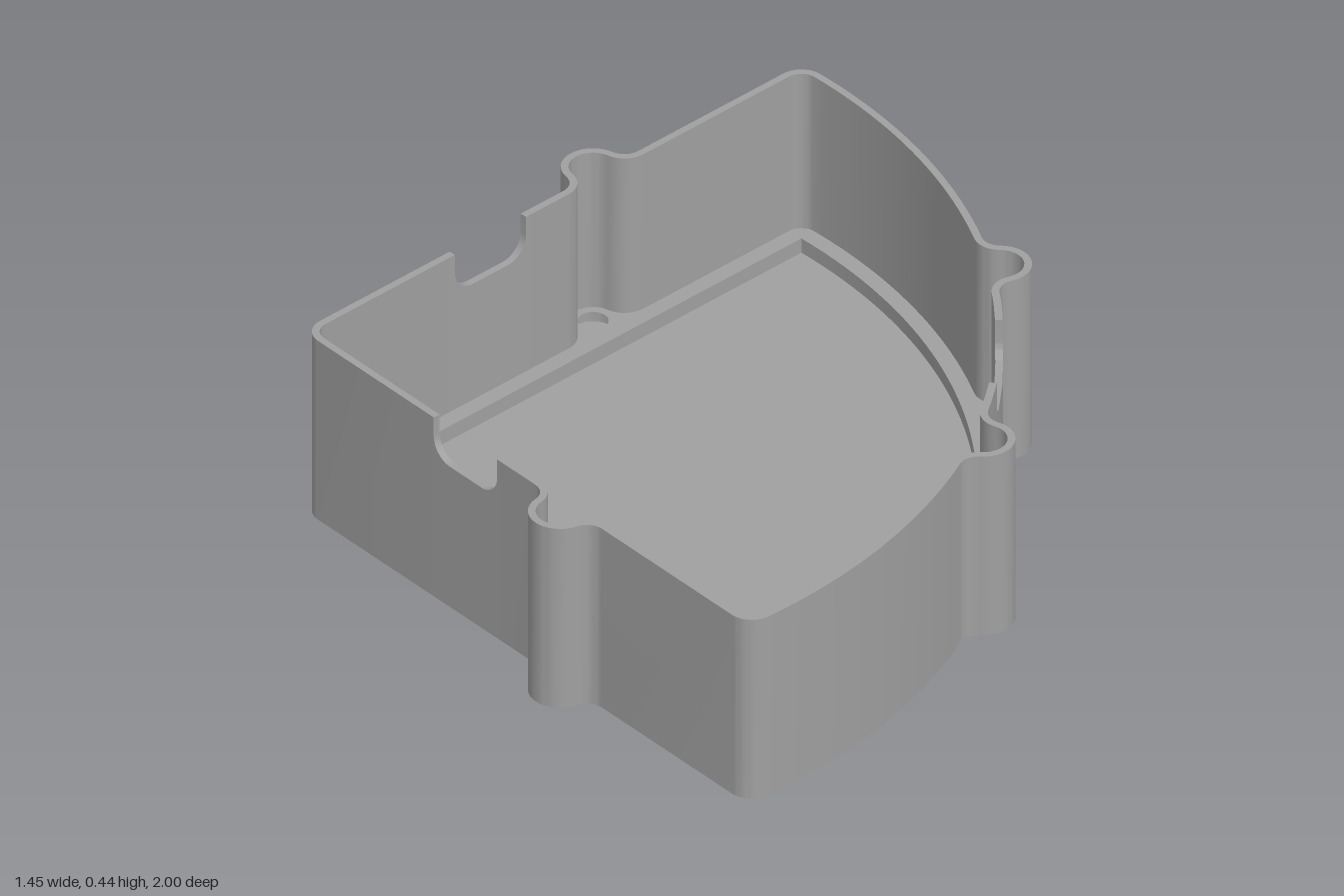
import * as THREE from 'three';
import { toCreasedNormals } from 'three/addons/utils/BufferGeometryUtils.js';

const HEIGHT = 0.44, WALL = 0.016, FLOOR = 0.025, LEDGE = 0.06;
const APEX = new THREE.Vector2(-0.675, 0);
const HALF_ANGLE = THREE.MathUtils.degToRad(46.6);
const SECTOR_R = 1.302, RIM = 0.053, OUTER_R = SECTOR_R + RIM;
const BOSS_R = 0.066, FILLET = 0.04, HOLE_R = 0.032;

const polar = (c, r, a) => new THREE.Vector2(c.x + r * Math.cos(a), c.y + r * Math.sin(a));
const bearing = (from, to) => Math.atan2(to.y - from.y, to.x - from.x);

// Rounded notch outline as [offset, height] pairs
function notch(halfWidth, bottom, r) {
  const left = [[-halfWidth, HEIGHT]];
  for (let i = 0; i <= 8; i++) {
    const a = (i / 8) * Math.PI / 2;
    left.push([-halfWidth + r * (1 - Math.cos(a)), bottom + r * (1 - Math.sin(a))]);
  }
  return left.concat(left.map(([s, h]) => [-s, h]).reverse());
}

// Screw boss centres on the +z half: one on the straight wall, one on the arc
const sideBoss = new THREE.Vector2(-0.188, 0.625);
const arcBoss = new THREE.Vector2(0.658, 0.317);

// Outer contour of the +z half, in (x, z), with outward normal n and wall height h
function halfContour() {
  const pts = [];
  const add = (p, n, h = HEIGHT) => pts.push({ p, n, h });
  const arc = (c, r, a0, a1, sign, steps) => {
    const sweep = Math.atan2(Math.sin(a1 - a0), Math.cos(a1 - a0));
    for (let i = 0; i <= steps; i++) {
      const a = a0 + sweep * i / steps;
      add(polar(c, r, a), new THREE.Vector2(sign * Math.cos(a), sign * Math.sin(a)));
    }
  };
  const boss = (c, f1, f2, in1, in2) => {
    arc(f1, FILLET, in1, bearing(f1, c), -1, 8);
    arc(c, BOSS_R, bearing(c, f1), bearing(c, f2), 1, 18);
    arc(f2, FILLET, bearing(f2, c), in2, -1, 8);
  };
  const A = HALF_ANGLE;
  const d = new THREE.Vector2(Math.cos(A), Math.sin(A));
  const n = new THREE.Vector2(-d.y, d.x);
  const onSide = (t, off) => APEX.clone().addScaledVector(d, t).addScaledVector(n, off);

  // Rounded apex and straight wall with its notch
  arc(APEX, RIM, Math.PI, A + Math.PI / 2, 1, 8);
  for (const [s, h] of notch(0.1, 0.345, 0.05)) add(onSide(0.464 + s, RIM), n, h);

  // Boss on the straight wall
  const rel = sideBoss.clone().sub(APEX);
  const t = rel.dot(d), rise = RIM + FILLET - rel.dot(n);
  const dt = Math.sqrt((BOSS_R + FILLET) ** 2 - rise ** 2);
  boss(sideBoss, onSide(t - dt, RIM + FILLET), onSide(t + dt, RIM + FILLET), A - Math.PI / 2, A - Math.PI / 2);

  // Rounded corner, then the large arc with its boss
  arc(polar(APEX, SECTOR_R, A), RIM, A + Math.PI / 2, A, 1, 12);
  const b = bearing(APEX, arcBoss), rb = APEX.distanceTo(arcBoss), rf = OUTER_R + FILLET;
  const delta = Math.acos((rb * rb + rf * rf - (BOSS_R + FILLET) ** 2) / (2 * rb * rf));
  arc(APEX, OUTER_R, A, b + delta, 1, 24);
  boss(arcBoss, polar(APEX, rf, b + delta), polar(APEX, rf, b - delta), b + delta + Math.PI, b - delta + Math.PI);

  // Half of the notch in the middle of the arc
  arc(APEX, OUTER_R, b - delta, 0.12, 1, 3);
  for (const [s, h] of notch(0.115, 0.355, 0.03).filter(([s]) => s < 0)) {
    const a = -s / OUTER_R;
    add(polar(APEX, OUTER_R, a), new THREE.Vector2(Math.cos(a), Math.sin(a)), h);
  }
  add(polar(APEX, OUTER_R, 0), new THREE.Vector2(1, 0), 0.355);
  return pts;
}

function fullContour() {
  const half = halfContour();
  const flip = (v) => new THREE.Vector2(v.x, -v.y);
  const other = half.slice(1, -1).reverse().map(({ p, n, h }) => ({ p: flip(p), n: flip(n), h }));
  return half.concat(other);
}

// Sweep the wall section round the contour
function wallGeometry(contour) {
  const rings = contour.map(({ p, n, h }) => {
    const q = p.clone().addScaledVector(n, -WALL);
    return [[p.x, 0, p.y], [p.x, h, p.y], [q.x, h, q.y], [q.x, 0, q.y]].map((v) => new THREE.Vector3(...v));
  });
  const pos = [];
  const tri = (a, b, c) => {
    const area = b.clone().sub(a).cross(c.clone().sub(a)).length();
    if (area > 1e-9) for (const v of [a, b, c]) pos.push(v.x, v.y, v.z);
  };
  rings.forEach((r, i) => {
    const s = rings[(i + 1) % rings.length];
    for (let k = 0; k < 4; k++) {
      const m = (k + 1) % 4;
      tri(r[k], s[k], s[m]);
      tri(r[k], s[m], r[m]);
    }
  });
  const g = new THREE.BufferGeometry();
  g.setAttribute('position', new THREE.Float32BufferAttribute(pos, 3));
  return toCreasedNormals(g, 0.5);
}

// Flat slab from a plan shape between two heights
function slab(shape, y0, y1) {
  const g = new THREE.ExtrudeGeometry(shape, { depth: y1 - y0, bevelEnabled: false, curveSegments: 32 });
  g.rotateX(-Math.PI / 2).translate(0, y0, 0);
  return toCreasedNormals(g, 0.5);
}

export function createModel() {
  const group = new THREE.Group();
  group.name = 'sectorTray';
  const grey = new THREE.MeshStandardMaterial({ color: 0xa0a0a0 });
  grey.name = 'grey plastic';
  const add = (name, geometry) => {
    const mesh = new THREE.Mesh(geometry, grey);
    mesh.name = name;
    group.add(mesh);
  };

  const contour = fullContour();
  add('wall', wallGeometry(contour));

  // Inner plan, without repeated points
  const inner = contour
    .map(({ p, n }) => p.clone().addScaledVector(n, -WALL))
    .filter((p, i, all) => i === 0 || p.distanceTo(all[i - 1]) > 1e-5);
  add('floor', slab(new THREE.Shape(inner), 0, FLOOR));

  // Raised ledge around the floor, with blind screw holes in the bosses
  const ledge = new THREE.Shape(inner);
  const recess = new THREE.Path();
  recess.moveTo(APEX.x, APEX.y);
  const start = polar(APEX, SECTOR_R, -HALF_ANGLE);
  recess.lineTo(start.x, start.y);
  recess.absarc(APEX.x, APEX.y, SECTOR_R, -HALF_ANGLE, HALF_ANGLE, false);
  recess.closePath();
  ledge.holes.push(recess);
  for (const c of [sideBoss, arcBoss]) {
    for (const side of [1, -1]) {
      ledge.holes.push(new THREE.Path().absarc(c.x, side * c.y, HOLE_R, 0, Math.PI * 2, true));
    }
  }
  add('ledge', slab(ledge, FLOOR, LEDGE));
  return group;
}
